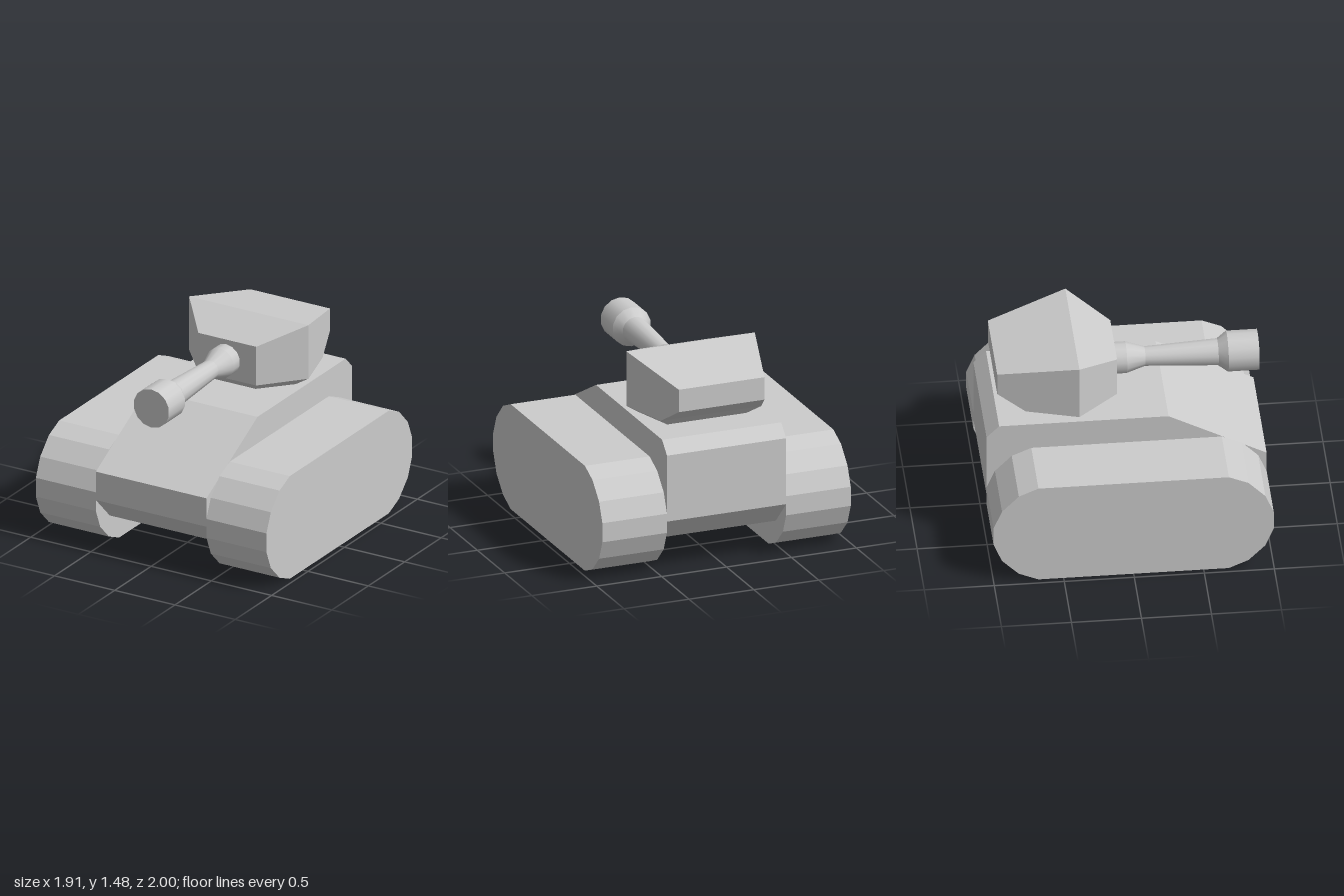
import * as THREE from 'three';
import { ConvexGeometry } from 'three/addons/geometries/ConvexGeometry.js';

const grey = new THREE.MeshStandardMaterial({ color: 0xcccccc });
const greyFlat = new THREE.MeshStandardMaterial({ color: 0xcccccc, flatShading: true });

function addMesh(parent, name, geometry, material = greyFlat) {
  const mesh = new THREE.Mesh(geometry, material);
  mesh.name = name;
  parent.add(mesh);
  return mesh;
}

// Side profile of [z, y] points, extruded across x and centred on x = 0
function sideExtrude(profile, width) {
  const shape = new THREE.Shape(profile.map(([z, y]) => new THREE.Vector2(z, y)));
  return new THREE.ExtrudeGeometry(shape, { depth: width, bevelEnabled: false })
    .translate(0, 0, -width / 2)
    .rotateY(-Math.PI / 2);
}

// Convex solid from [x, y, z] corners mirrored across x
function mirroredSolid(corners) {
  return new ConvexGeometry(corners.flatMap(([x, y, z]) => [
    new THREE.Vector3(x, y, z), new THREE.Vector3(-x, y, z),
  ]));
}

export function createModel() {
  const model = new THREE.Group();
  model.name = 'tank';

  // Tracks: faceted rounded slabs, the front half mirrored to the back
  const half = [[0.68, 0], [0.82, 0.06], [0.94, 0.18], [1, 0.325],
    [1, 0.47], [0.94, 0.612], [0.82, 0.735], [0.68, 0.795]];
  const trackProfile = [...half, ...half.map(([z, y]) => [-z, y]).reverse()];
  for (const [name, side] of [['leftTrack', 1], ['rightTrack', -1]]) {
    addMesh(model, name, sideExtrude(trackProfile, 0.498)).position.x = side * 0.708;
  }

  // Hull with sloped front plate and chamfered lower edges
  const hullProfile = [[0.81, 0.22], [1, 0.41], [1, 0.63], [0.3, 1],
    [-0.91, 1], [-1, 0.91], [-1, 0.41], [-0.81, 0.22]];
  addMesh(model, 'hull', sideExtrude(hullProfile, 0.918));

  // Turret body above a tapered base
  const turret = new THREE.Group();
  turret.name = 'turret';
  model.add(turret);
  const rim = [[0.24, 1.065, -0.045], [0.495, 1.065, -0.34], [0.387, 1.065, -0.713]];
  addMesh(turret, 'turretBody', mirroredSolid([
    ...rim,
    [0.24, 1.365, -0.045], [0.495, 1.48, -0.34],
    [0.33, 1.36, -0.91], [0.33, 1.19, -0.91],
  ]));
  addMesh(turret, 'turretBase', mirroredSolid([
    ...rim,
    [0.19, 1, -0.12], [0.39, 1, -0.34], [0.305, 1, -0.638],
  ]));

  // Gun: stacked smooth sections along z, each [z, radius]
  const gun = new THREE.Group();
  gun.name = 'gun';
  gun.position.set(-0.009, 1.214, 0);
  turret.add(gun);
  const stations = [[-0.06, 0.115], [0.04, 0.115], [0.175, 0.071],
    [0.695, 0.098], [0.762, 0.148], [0.982, 0.148]];
  const names = ['gunCollar', 'collarTaper', 'barrel', 'muzzleFlare', 'muzzle'];
  names.forEach((name, i) => {
    const [z0, r0] = stations[i];
    const [z1, r1] = stations[i + 1];
    const section = new THREE.CylinderGeometry(r1, r0, z1 - z0, 14, 1, name !== 'muzzle')
      .rotateX(Math.PI / 2)
      .translate(0, 0, (z0 + z1) / 2);
    addMesh(gun, name, section, grey);
  });

  return model;
}
